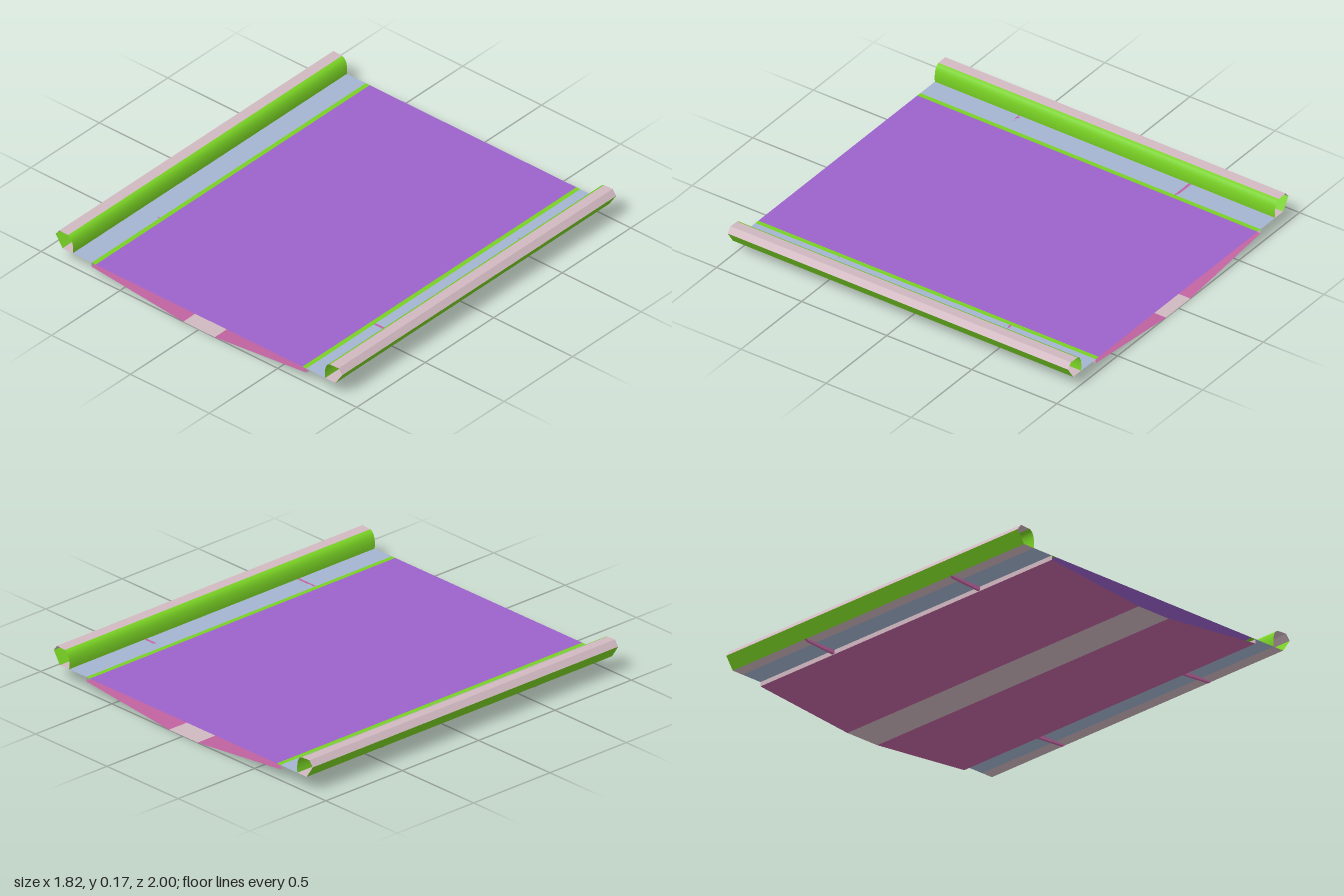
import * as THREE from 'three';

const mat = (color) => new THREE.MeshStandardMaterial({ color, side: THREE.DoubleSide });
const M = {
  deck: mat(0x9c62cc), green: mat(0x78d024), shoulder: mat(0xa4b4d0),
  concrete: mat(0xd0b8c0), belly: mat(0xc062a0),
};

// Open sheet: an x/y profile swept along the full length in z
function sheet(name, profile, material, length = 2) {
  const g = new THREE.PlaneGeometry(1, 1, profile.length - 1, 1);
  const p = g.attributes.position;
  for (let i = 0; i < p.count; i++) {
    const [x, y] = profile[i % profile.length];
    p.setXYZ(i, x, y, i < profile.length ? -length / 2 : length / 2);
  }
  g.computeVertexNormals();
  const m = new THREE.Mesh(g, material);
  m.name = name;
  return m;
}

export function createModel() {
  const group = new THREE.Group();
  group.name = 'bridgeDeckSection';
  const Y = 0.08;

  // Road surface and the flat keel strip below it
  group.add(sheet('roadSurface', [[-0.655, Y], [0.655, Y]], M.deck));
  group.add(sheet('keelStrip', [[0.1, 0], [-0.1, 0]], M.concrete));

  // Rounded inner face of the kerb
  const arc = new THREE.CubicBezierCurve(
    new THREE.Vector2(0.8, Y), new THREE.Vector2(0.795, 0.12),
    new THREE.Vector2(0.8, 0.165), new THREE.Vector2(0.83, 0.172),
  ).getPoints(10).map((v) => [v.x, v.y]);

  // Parts that repeat on both sides
  for (const s of [1, -1]) {
    const side = s > 0 ? 'left' : 'right';
    const add = (name, pts, m) => {
      const q = pts.map(([x, y]) => [s * x, y]);
      if (s < 0) q.reverse();
      group.add(sheet(side + name, q, m));
    };
    add('EdgeLine', [[0.655, Y], [0.68, Y]], M.green);
    add('Shoulder', [[0.68, Y], [0.8, Y]], M.shoulder);
    add('KerbBase', [[0.8, Y], [0.865, Y]], M.concrete);
    add('KerbInnerFace', arc, M.green);
    add('KerbTop', [[0.83, 0.172], [0.885, 0.175]], M.concrete);
    add('KerbLip', [[0.885, 0.175], [0.908, 0.145]], M.concrete);
    add('KerbOuterFace', [[0.908, 0.145], [0.865, Y]], M.green);
    add('Fascia', [[0.68, Y], [0.68, 0.057]], M.concrete);
    add('Belly', [[0.68, 0.057], [0.1, 0]], M.belly);

    // Tapered brackets under the shoulder
    const shape = new THREE.Shape([
      [0.68, Y], [0.68, 0.06], [0.855, 0.072], [0.865, Y],
    ].map(([x, y]) => new THREE.Vector2(s * x, y)));
    for (const z of [-0.5, 0.5]) {
      const g = new THREE.ExtrudeGeometry(shape, { depth: 0.014, bevelEnabled: false });
      const bracket = new THREE.Mesh(g.translate(0, 0, z - 0.007), M.belly);
      bracket.name = side + 'Bracket';
      group.add(bracket);
    }
  }
  return group;
}
